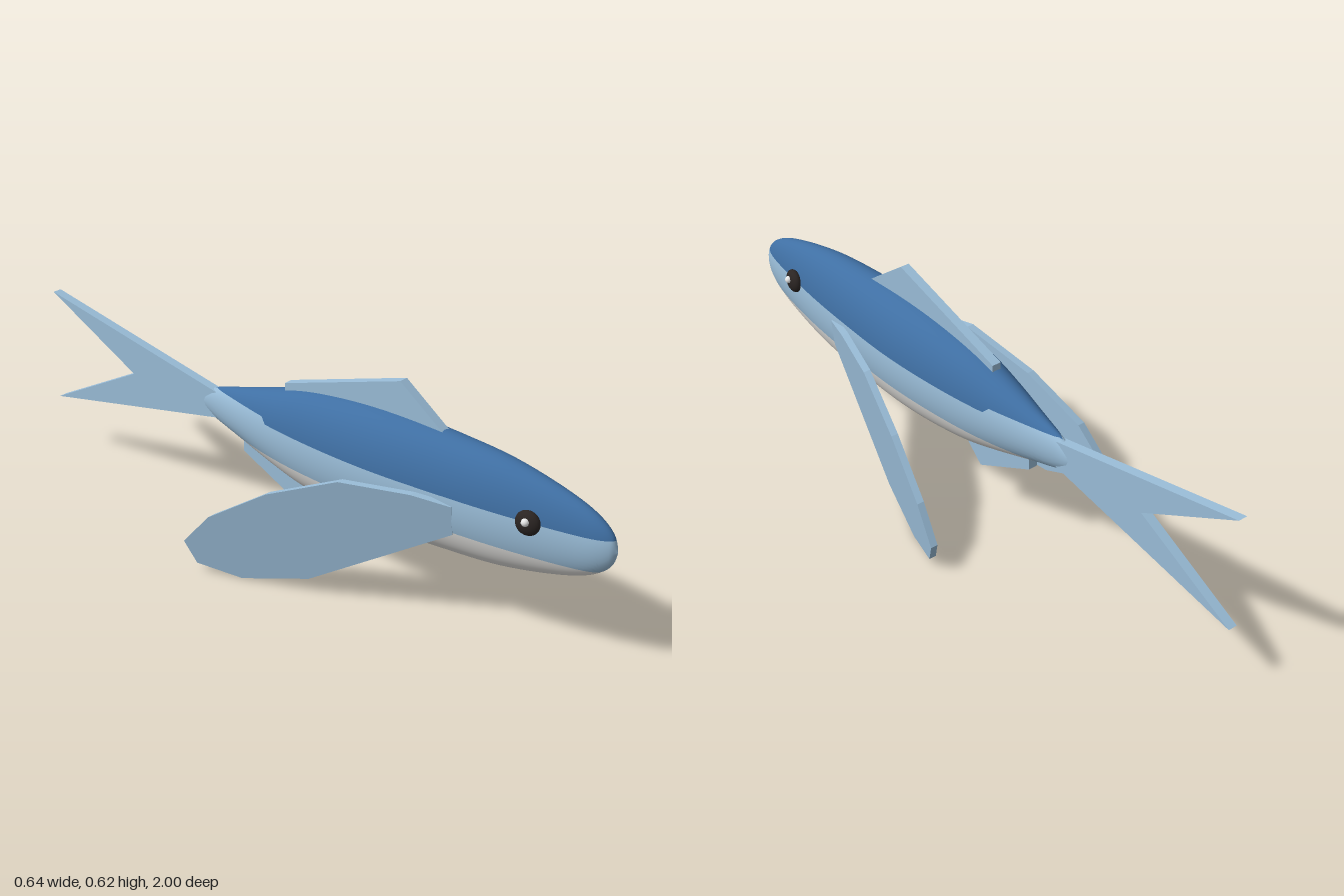
import * as THREE from 'three';

const material = (name, color, side = THREE.FrontSide) => {
  const m = new THREE.MeshStandardMaterial({ color, side });
  m.name = name;
  return m;
};

const CENTRE_Y = 0.347;

// Body half width, half height and z, from nose to tail
const bodyCurve = new THREE.CatmullRomCurve3([
  [0.001, 0.001, 1], [0.018, 0.042, 0.985], [0.034, 0.074, 0.95], [0.05, 0.106, 0.88],
  [0.08, 0.152, 0.68], [0.096, 0.167, 0.5], [0.106, 0.173, 0.3], [0.102, 0.166, 0.15],
  [0.089, 0.146, 0], [0.073, 0.118, -0.11], [0.046, 0.08, -0.24], [0.022, 0.05, -0.345],
  [0.012, 0.025, -0.395], [0.001, 0.001, -0.41],
].map((p) => new THREE.Vector3(...p)));

// One lengthwise strip of the body; range(angleAt) gives its start and end angle at each ring
function bodyStrip(range, steps) {
  const rings = 90, pos = [], nor = [], idx = [];
  for (let i = 0; i <= rings; i++) {
    const p = bodyCurve.getPoint(i / rings), t = bodyCurve.getTangent(i / rings);
    const angleAt = (y) => Math.asin(THREE.MathUtils.clamp((y - CENTRE_Y) / p.y, -1, 1));
    const [a0, a1] = range(angleAt, p.z);
    for (let j = 0; j <= steps; j++) {
      const a = a0 + (a1 - a0) * j / steps, c = Math.cos(a), s = Math.sin(a);
      pos.push(p.x * c, CENTRE_Y + p.y * s, p.z);
      const around = new THREE.Vector3(-p.x * s, p.y * c, 0);
      const along = new THREE.Vector3(t.x * c, t.y * s, t.z);
      nor.push(...along.cross(around).normalize().toArray());
      if (i < rings && j < steps) {
        const k = i * (steps + 1) + j, n = k + steps + 1;
        idx.push(k, n, k + 1, n, n + 1, k + 1);
      }
    }
  }
  const g = new THREE.BufferGeometry();
  g.setAttribute('position', new THREE.Float32BufferAttribute(pos, 3));
  g.setAttribute('normal', new THREE.Float32BufferAttribute(nor, 3));
  g.setIndex(idx);
  return g;
}

// Flat plate from a side outline of [z, y] points, centred on x = 0
function plate(points, thickness) {
  const shape = new THREE.Shape(points.map(([z, y]) => new THREE.Vector2(z, y)));
  const g = new THREE.ExtrudeGeometry(shape, { depth: thickness, bevelEnabled: false });
  return g.translate(0, 0, -thickness / 2).rotateY(-Math.PI / 2);
}

export function createModel() {
  const model = new THREE.Group();
  model.name = 'flyingFish';
  const backBlue = material('backBlue', 0x3f6fa3);
  const paleBlue = material('paleBlue', 0x9abdd8);
  const bellyWhite = material('bellyWhite', 0xe4e3e0);
  const eyeBlack = material('eyeBlack', 0x2b2523);
  const glintWhite = material('glintWhite', 0xffffff);

  const add = (name, geometry, mat) => {
    const mesh = new THREE.Mesh(geometry, mat);
    mesh.name = name;
    model.add(mesh);
    return mesh;
  };

  // Body in horizontal colour bands
  const backLine = (z) => (z > -0.11 ? 0.38 : 0.397);
  const bellyLine = 0.28;
  add('back', bodyStrip((at, z) => [at(backLine(z)), Math.PI - at(backLine(z))], 32), backBlue);
  add('leftFlank', bodyStrip((at, z) => [at(bellyLine), at(backLine(z))], 8), paleBlue);
  add('rightFlank', bodyStrip((at, z) => [Math.PI - at(backLine(z)), Math.PI - at(bellyLine)], 8), paleBlue);
  add('belly', bodyStrip((at) => [Math.PI - at(bellyLine), 2 * Math.PI + at(bellyLine)], 28), bellyWhite);

  // Fins on the centre line
  add('tailFin', plate([[-0.33, 0.385], [-1, 0.52], [-0.67, 0.347], [-1, 0.175], [-0.33, 0.309]], 0.028), paleBlue);
  add('dorsalFin', plate([[0.48, 0.5], [0.32, 0.618], [-0.08, 0.493], [-0.08, 0.44], [0.3, 0.47]], 0.028), paleBlue);
  add('analFin', plate([[0.06, 0.22], [-0.03, 0.135], [-0.235, 0.235], [-0.235, 0.29]], 0.028), paleBlue);

  // Wing-like fins, sheared outwards towards the tail
  const wingOutline = [
    [0.555, 0.36], [0.555, 0.275], [0.16, 0.043], [-0.03, 0], [-0.157, 0.022],
    [-0.188, 0.088], [-0.11, 0.182], [0.06, 0.292], [0.26, 0.374], [0.45, 0.375],
  ];
  for (const [side, label] of [[1, 'left'], [-1, 'right']]) {
    const g = plate(wingOutline, 0.022), p = g.attributes.position;
    for (let i = 0; i < p.count; i++) {
      p.setX(i, p.getX(i) + side * (0.233 - 0.34 * p.getZ(i) + 0.11 * p.getY(i)));
    }
    g.computeVertexNormals();
    add(label + 'WingFin', g, paleBlue);

    // Eye with a small glint
    const eye = add(label + 'Eye', new THREE.SphereGeometry(0.035, 24, 16), eyeBlack);
    eye.scale.x = 0.55;
    eye.position.set(side * 0.069, 0.382, 0.775);
    eye.rotation.y = -side * 0.15;
    const glint = add(label + 'EyeGlint', new THREE.SphereGeometry(0.011, 14, 10), glintWhite);
    glint.position.set(side * 0.086, 0.391, 0.778);
  }
  return model;
}
